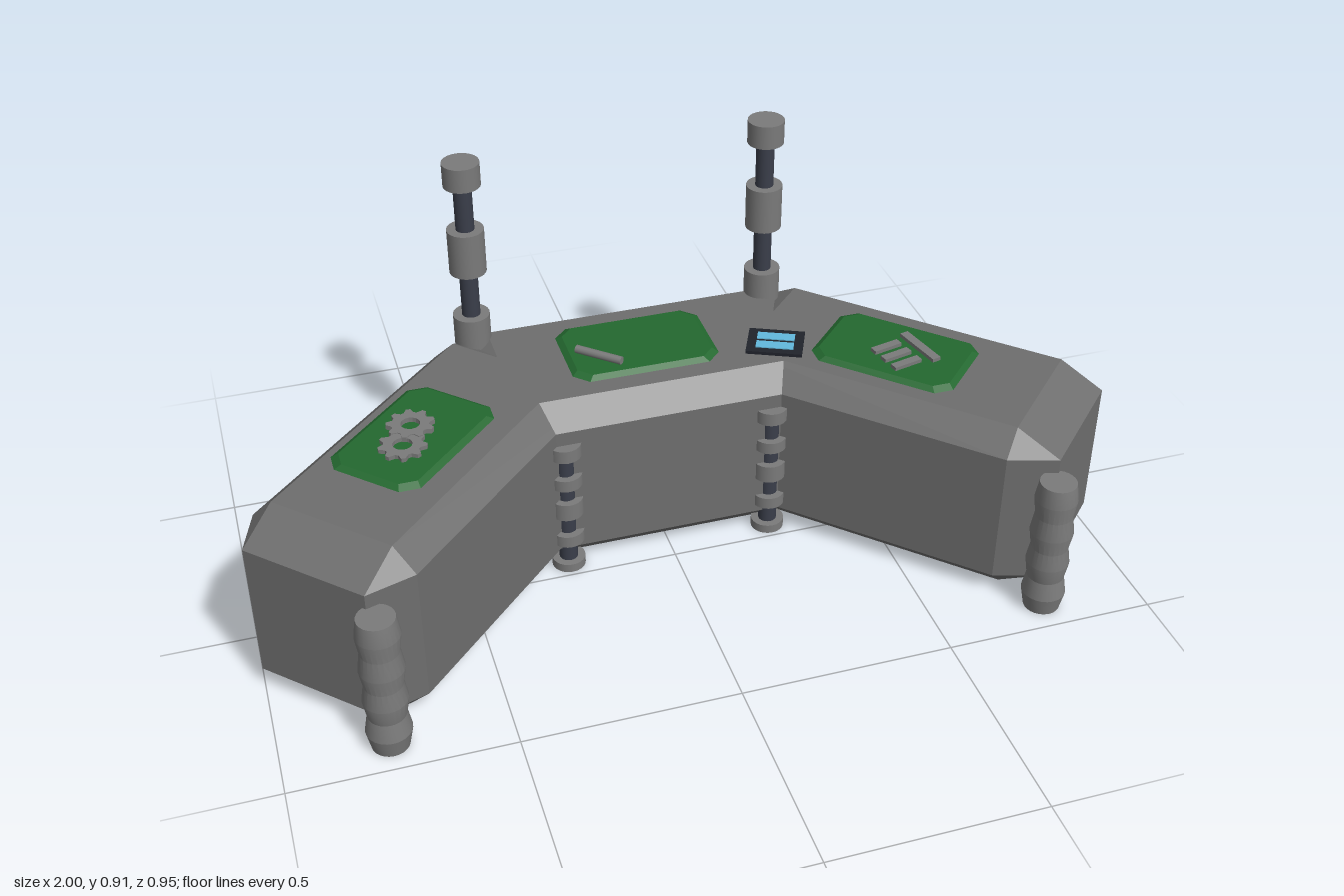
import * as THREE from 'three';
import { toCreasedNormals } from 'three/addons/utils/BufferGeometryUtils.js';
import { ConvexGeometry } from 'three/addons/geometries/ConvexGeometry.js';

const mat = (color) => new THREE.MeshStandardMaterial({ color });
const grey = mat(0x6e6e6e);
const metal = mat(0x7a7a7a);
const dark = mat(0x3a3e4a);
const green = mat(0x23682f);
const black = mat(0x20232b);
const blue = mat(0x62b8dc);

// Box whose edges are all cut by a flat chamfer, with its own depth per axis
function chamferBox(w, h, d, cx, cy, cz) {
  const points = [];
  const [x, y, z] = [w / 2, h / 2, d / 2];
  for (const sx of [-1, 1]) for (const sy of [-1, 1]) for (const sz of [-1, 1]) {
    points.push(
      new THREE.Vector3(sx * x, sy * (y - cy), sz * (z - cz)),
      new THREE.Vector3(sx * (x - cx), sy * y, sz * (z - cz)),
      new THREE.Vector3(sx * (x - cx), sy * (y - cy), sz * z));
  }
  return new ConvexGeometry(points);
}

function add(parent, name, geometry, material, x = 0, y = 0, z = 0, turn = 0) {
  const mesh = new THREE.Mesh(geometry, material);
  mesh.name = name;
  mesh.position.set(x, y, z);
  mesh.rotation.y = turn;
  parent.add(mesh);
  return mesh;
}

// Upright cylinder between two heights
function drum(parent, name, r, y0, y1, material) {
  return add(parent, name, new THREE.CylinderGeometry(r, r, y1 - y0, 24), material, 0, (y0 + y1) / 2, 0);
}

function groupAt(parent, name, x, z) {
  const group = new THREE.Group();
  group.name = name;
  group.position.set(x, 0, z);
  parent.add(group);
  return group;
}

// Flat toothed wheel with a round bore, lying in the xz plane
function gearGeometry(radius, teeth, thickness) {
  const shape = new THREE.Shape();
  for (let i = 0; i < teeth * 4; i++) {
    const a = (i / (teeth * 4)) * Math.PI * 2;
    const r = i % 4 < 2 ? radius : radius * 0.78;
    shape[i ? 'lineTo' : 'moveTo'](Math.cos(a) * r, Math.sin(a) * r);
  }
  shape.closePath();
  const bore = new THREE.Path();
  bore.absarc(0, 0, radius * 0.4, 0, Math.PI * 2, true);
  shape.holes.push(bore);
  return new THREE.ExtrudeGeometry(shape, { depth: thickness, bevelEnabled: false, curveSegments: 8 })
    .rotateX(-Math.PI / 2);
}

export function createModel() {
  const model = new THREE.Group();
  model.name = 'cornerConsole';
  const top = 0.445;

  // Desk: a middle block and two wings swept forward at 45 degrees
  add(model, 'middleDesk', chamferBox(0.905, top, 0.438, 0.106, 0.055, 0.056), grey, 0, top / 2, -0.256);
  for (const s of [-1, 1]) {
    const side = s > 0 ? 'left' : 'right';
    add(model, side + 'WingDesk', chamferBox(0.905, top, 0.424, 0.106, 0.055, 0.056), grey,
      s * 0.57, top / 2, -0.04, -s * Math.PI / 4);
  }

  // Tall rear posts: wide sleeves on a thin dark rod
  for (const [side, x] of [['left', 0.352], ['right', -0.382]]) {
    const post = groupAt(model, side + 'RearPost', x, -0.413);
    drum(post, 'postRod', 0.022, 0.48, 0.88, dark);
    for (const [y0, y1] of [[0, 0.512], [0.63, 0.742], [0.856, 0.914]]) {
      drum(post, 'postSleeve', 0.044, y0, y1, metal);
    }
  }

  // Short columns in the inner corners: rings on a dark rod
  for (const s of [-1, 1]) {
    const column = groupAt(model, (s > 0 ? 'left' : 'right') + 'InnerColumn', s * 0.252, -0.05);
    drum(column, 'columnRod', 0.022, 0, 0.35, dark);
    for (const [y0, y1] of [[0, 0.022], [0.075, 0.105], [0.155, 0.2], [0.24, 0.27], [0.322, 0.355]]) {
      drum(column, 'columnRing', 0.04, y0, y1, metal);
    }
  }

  // Ribbed front posts at the wing tips
  const ribs = [[0, 0], [0.042, 0], [0.051, 0.045], [0.043, 0.09], [0.05, 0.133], [0.043, 0.175],
    [0.05, 0.218], [0.043, 0.265], [0.049, 0.31], [0.042, 0.355], [0, 0.355]];
  const ribbed = toCreasedNormals(
    new THREE.LatheGeometry(ribs.map(([r, y]) => new THREE.Vector2(r, y)), 24), 0.33);
  for (const s of [-1, 1]) {
    add(model, (s > 0 ? 'left' : 'right') + 'FrontPost', ribbed, metal, s * 0.765, 0, 0.42);
  }

  // Green work mats with clipped corners, one on each desk section
  const clipped = (w, d, c) => [[-w + c, -d], [w - c, -d], [w, -d + c], [w, d - c],
    [w - c, d], [-w + c, d], [-w, d - c], [-w, -d + c]];
  const matPoints = [
    ...clipped(0.185, 0.125, 0.035).map(([x, z]) => new THREE.Vector3(x, -0.006, z)),
    ...clipped(0.165, 0.105, 0.03).map(([x, z]) => new THREE.Vector3(x, 0.007, z))];
  const matGeometry = new ConvexGeometry(matPoints);
  add(model, 'middleMat', matGeometry, green, -0.017, 0.447, -0.26);
  add(model, 'leftMat', matGeometry, green, 0.562, 0.447, -0.05, -Math.PI / 4);
  add(model, 'rightMat', matGeometry, green, -0.594, 0.447, -0.045, Math.PI / 4);

  // Pair of gears on the right mat
  const gear = gearGeometry(0.055, 9, 0.013);
  add(model, 'rearGear', gear, metal, -0.595, 0.453, -0.072);
  add(model, 'frontGear', gear, metal, -0.625, 0.451, -0.003, 0.3);

  // Rod lying on the middle mat
  const rod = add(model, 'looseRod', new THREE.CylinderGeometry(0.01, 0.01, 0.12, 12), metal, -0.12, 0.463, -0.22);
  rod.rotation.set(0, -0.74, Math.PI / 2);

  // Small bars on the left mat
  const bars = groupAt(model, 'looseBars', 0.575, -0.025);
  bars.rotation.y = 0.23;
  for (const z of [-0.04, 0, 0.04]) {
    add(bars, 'shortBar', new THREE.BoxGeometry(0.075, 0.01, 0.02), metal, -0.025, 0.458, z);
  }
  add(bars, 'longBar', new THREE.BoxGeometry(0.022, 0.01, 0.13), metal, 0.045, 0.458, 0);

  // Tablet with two lit strips
  const tablet = groupAt(model, 'tablet', 0.302, -0.167);
  tablet.rotation.y = -0.43;
  add(tablet, 'tabletBody', new THREE.BoxGeometry(0.134, 0.012, 0.102), black, 0, 0.447, 0);
  for (const z of [-0.019, 0.019]) {
    add(tablet, 'screenStrip', new THREE.BoxGeometry(0.09, 0.003, 0.028), blue, 0, 0.454, z);
  }
  return model;
}
